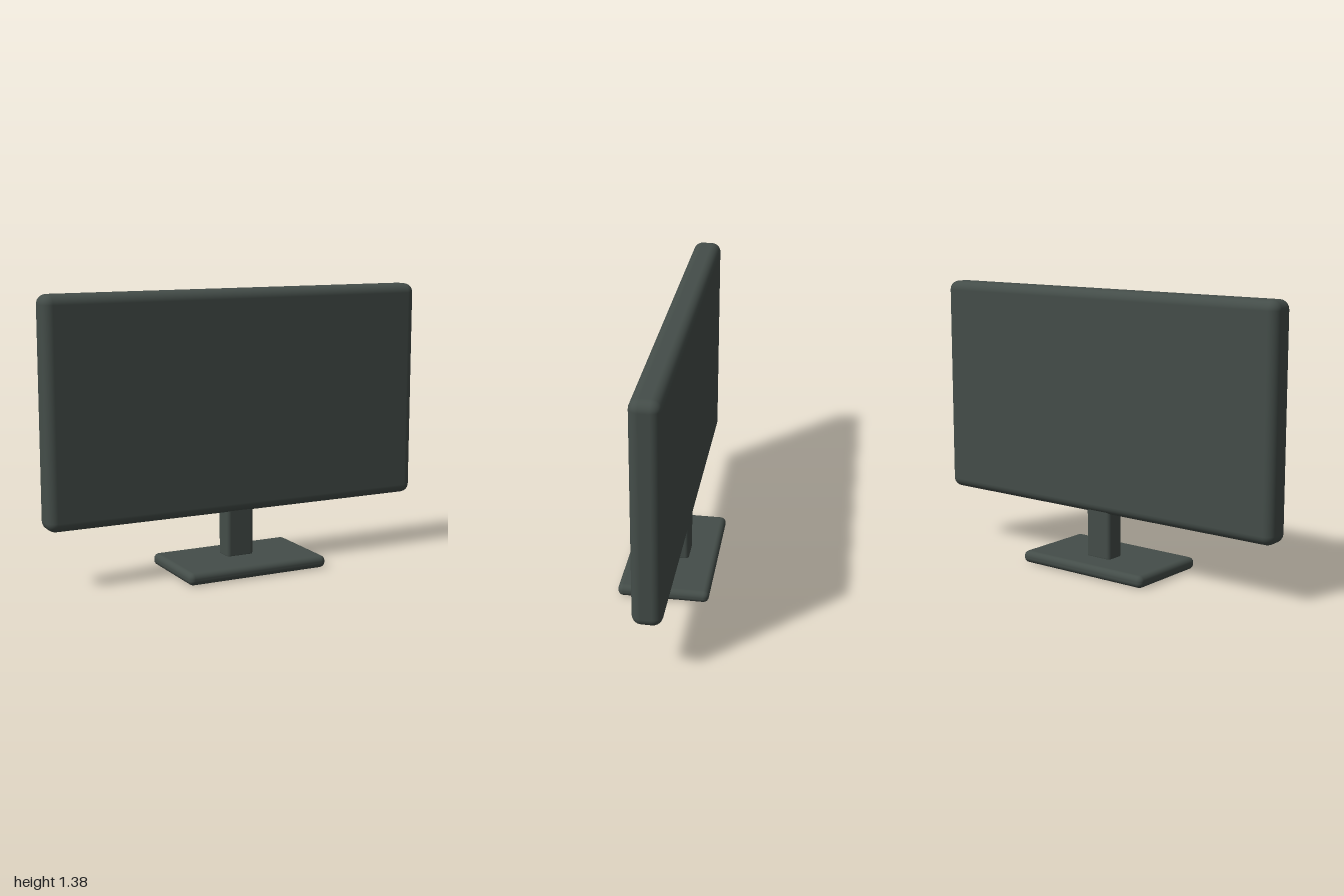
import * as THREE from 'three';
import { RoundedBoxGeometry } from 'three/addons/geometries/RoundedBoxGeometry.js';

export function createModel() {
  const model = new THREE.Group();
  model.name = 'monitor';

  const casing = new THREE.MeshStandardMaterial({ color: 0x444d49 });
  casing.name = 'dark grey casing';

  // Rounded block given by its extents along each axis
  function block(name, [x0, x1], [y0, y1], [z0, z1], radius) {
    const geometry = new RoundedBoxGeometry(x1 - x0, y1 - y0, z1 - z0, 4, radius);
    const mesh = new THREE.Mesh(geometry, casing);
    mesh.name = name;
    mesh.position.set((x0 + x1) / 2, (y0 + y1) / 2, (z0 + z1) / 2);
    model.add(mesh);
  }

  // Flat foot resting on the ground
  block('base', [-0.373, 0.373], [0, 0.06], [-0.225, 0.225], 0.027);

  // Short neck, sunk into the foot and the panel
  block('neck', [-0.073, 0.073], [0.045, 0.4], [-0.085, 0.018], 0.02);

  // Wide display panel
  block('screenPanel', [-1, 1], [0.284, 1.382], [-0.1, 0.041], 0.046);

  return model;
}
